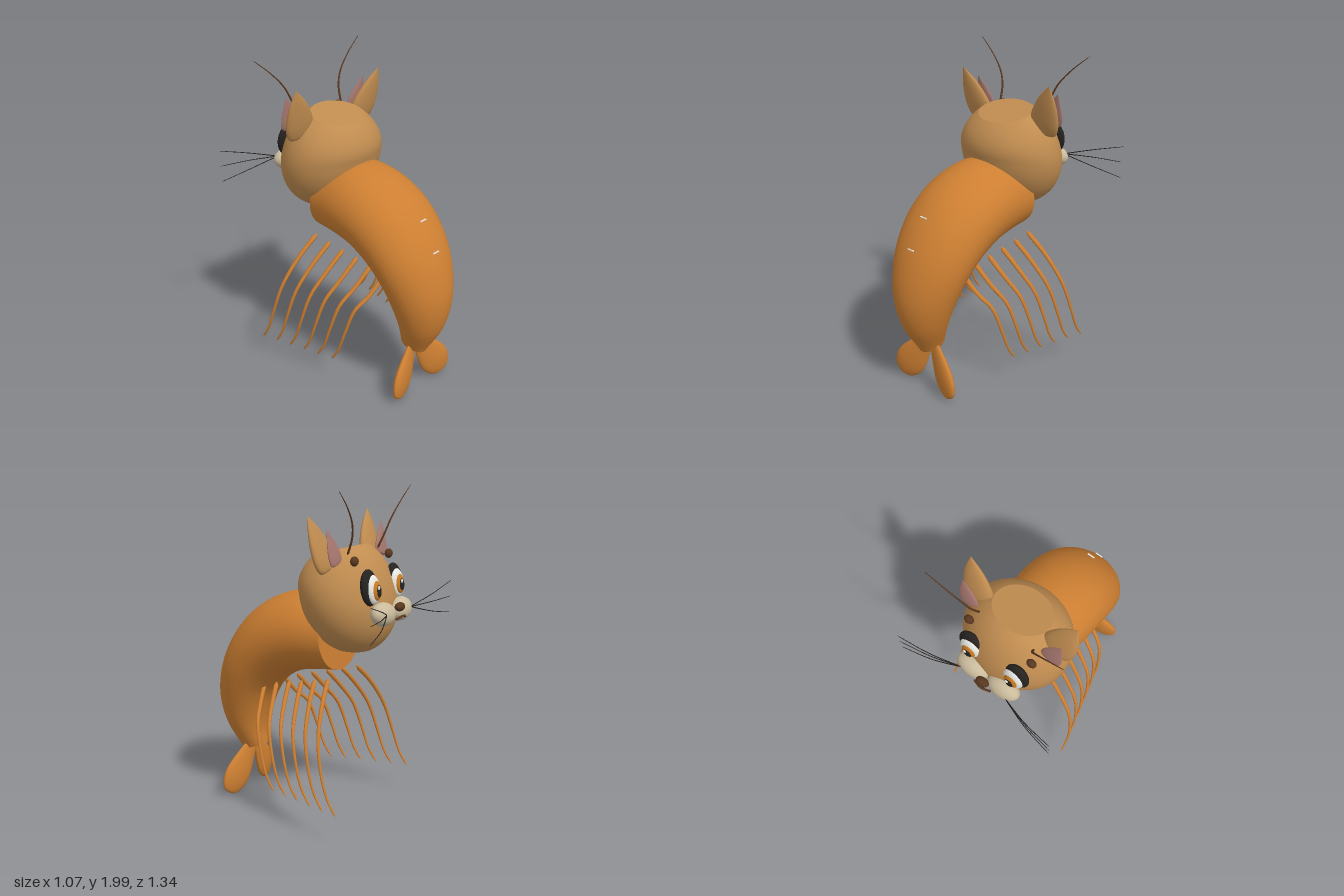
import * as THREE from 'three';

const mat = (name, color, extra = {}) => {
  const m = new THREE.MeshStandardMaterial({ color, ...extra });
  m.name = name;
  return m;
};
const V = (x, y, z) => new THREE.Vector3(x, y, z);

// Smooth skin over oval rings; each section is [backZ, backY, frontZ, frontY, halfWidth]
function loft(sections, sides = 48) {
  const rings = sections.map(([bz, by, fz, fy, w]) => ({
    c: V(0, (by + fy) / 2, (bz + fz) / 2), d: V(0, (by - fy) / 2, (bz - fz) / 2), w,
  }));
  const flat = (r) => ({ c: r.c, d: V(0, 0, 0), w: 0 });
  const first = rings[0], last = rings[rings.length - 1];
  const all = [flat(first), first, ...rings, last, flat(last)]; // doubled end rings keep cap edges sharp
  const pos = [], idx = [];
  all.forEach((r, i) => {
    for (let j = 0; j < sides; j++) {
      const a = (j / sides) * Math.PI * 2;
      const p = r.c.clone().addScaledVector(r.d, Math.cos(a));
      pos.push(r.w * Math.sin(a), p.y, p.z);
      if (i === all.length - 1) continue;
      const k = (j + 1) % sides, A = i * sides, B = A + sides;
      idx.push(A + j, B + j, A + k, B + j, B + k, A + k);
    }
  });
  const g = new THREE.BufferGeometry();
  g.setAttribute('position', new THREE.Float32BufferAttribute(pos, 3));
  g.setIndex(idx);
  g.computeVertexNormals();
  return g;
}

// Resample key sections along smooth curves
function smoothSections(keys, steps) {
  const back = new THREE.CatmullRomCurve3(keys.map((k) => V(k[4], k[1], k[0])));
  const front = new THREE.CatmullRomCurve3(keys.map((k) => V(0, k[3], k[2])));
  return Array.from({ length: steps + 1 }, (_, i) => {
    const b = back.getPoint(i / steps), f = front.getPoint(i / steps);
    return [b.z, b.y, f.z, f.y, b.x];
  });
}

// Tube along a curve that narrows from r0 to r1 and closes at both ends
function taperedTube(points, r0, r1, seg = 28, radial = 8) {
  const curve = new THREE.CatmullRomCurve3(points);
  const g = new THREE.TubeGeometry(curve, seg, 1, radial);
  const p = g.attributes.position, v = V(0, 0, 0);
  for (let i = 0; i <= seg; i++) {
    const c = curve.getPointAt(i / seg);
    const r = i === 0 || i === seg ? 0 : r0 + (r1 - r0) * (i / seg);
    for (let j = 0; j <= radial; j++) {
      const n = i * (radial + 1) + j;
      v.fromBufferAttribute(p, n).sub(c).multiplyScalar(r).add(c);
      p.setXYZ(n, v.x, v.y, v.z);
    }
  }
  g.computeVertexNormals();
  return g;
}

// Flattened leaf turned from a profile listed bottom to top
function leaf(profile, flatness) {
  const pts = new THREE.SplineCurve(profile.map(([x, y]) => new THREE.Vector2(x, y))).getPoints(24);
  pts.forEach((p) => { p.x = Math.max(p.x, 0); });
  return new THREE.LatheGeometry(pts, 32).scale(1, 1, flatness);
}

export function createModel() {
  const group = new THREE.Group();
  const shell = mat('shell orange', 0xcd7f32, { side: THREE.DoubleSide });
  const fur = mat('fur tan', 0xc08c50);
  const cream = mat('muzzle cream', 0xcabb9c);
  const brown = mat('dark brown', 0x5a3820);
  const pink = mat('inner ear pink', 0xa87870);
  const black = mat('black', 0x25221f);
  const white = mat('eye white', 0xeeeeea);
  const amber = mat('iris amber', 0xc97a22);

  const add = (name, geo, material, pos = [0, 0, 0], rot = [0, 0, 0]) => {
    const m = new THREE.Mesh(geo, material);
    m.name = name;
    m.position.set(...pos);
    m.rotation.set(...rot);
    group.add(m);
    return m;
  };
  const ball = (name, material, pos, radii, rot) =>
    add(name, new THREE.SphereGeometry(1, 32, 20).scale(...radii), material, pos, rot);

  // Curved body from neck to tail
  add('body', loft(smoothSections([
    [-0.17, 1.36, -0.205, 0.915, 0.25],
    [0.02, 1.386, -0.05, 0.9, 0.275],
    [0.24, 1.33, 0.08, 0.87, 0.285],
    [0.43, 1.2, 0.2, 0.8, 0.28],
    [0.59, 0.97, 0.29, 0.7, 0.255],
    [0.667, 0.7, 0.345, 0.56, 0.2],
    [0.64, 0.48, 0.368, 0.43, 0.14],
    [0.53, 0.28, 0.36, 0.33, 0.07],
  ], 48)), shell);
  add('backMark', new THREE.BoxGeometry(0.05, 0.005, 0.008), white, [0, 1.15, 0.485]);
  add('backMark', new THREE.BoxGeometry(0.05, 0.005, 0.008), white, [0, 0.98, 0.587]);

  // Round head cut flat at crown and chin, with the cuts tilted
  const headRings = [];
  for (let i = 0; i <= 28; i++) {
    const a = THREE.MathUtils.lerp(0.56, 2.73, i / 28);
    const c = Math.cos(a), s = Math.sin(a);
    const z = -0.247 + (c > 0 ? 0.066 : 0.04) * c;
    const y = 1.375 + (c > 0 ? 0.315 : 0.34) * c;
    const d = 0.277 * s, tilt = c > 0 ? 0.07 - 0.37 * c : 0.07;
    headRings.push([z + d, y + d * tilt, z - d, y - d * tilt, 0.335 * s]);
  }
  add('head', loft(headRings), fur);

  // Nose and mouth
  ball('nose', brown, [0, 1.335, -0.58], [0.042, 0.026, 0.026]);
  add('mouth', taperedTube([V(-0.06, 1.27, -0.585), V(0, 1.285, -0.602), V(0.06, 1.27, -0.585)], 0.007, 0.007), brown);

  const earShape = leaf([[0, -0.05], [0.08, -0.04], [0.1, 0.02], [0.088, 0.1], [0.055, 0.19], [0, 0.28]], 0.36);
  const innerEarShape = leaf([[0, -0.02], [0.055, -0.01], [0.062, 0.04], [0.04, 0.11], [0, 0.19]], 0.25);
  const lobeShape = leaf([[0, -0.37], [0.055, -0.355], [0.095, -0.29], [0.1, -0.21], [0.072, -0.1], [0.035, 0], [0, 0.02]], 0.34);

  for (const s of [1, -1]) {
    // Ears
    add('ear', earShape, fur, [s * 0.263, 1.595, -0.24], [0.24, 0, -s * 0.3]);
    add('innerEar', innerEarShape, pink, [s * 0.27, 1.605, -0.315], [0.17, 0, -s * 0.28]);

    // Eyes built in layers
    const tilt = [0.15, 0, 0];
    ball('eyeRim', black, [s * 0.157, 1.455, -0.463], [0.08, 0.105, 0.036], tilt);
    ball('eyeWhite', white, [s * 0.15, 1.447, -0.483], [0.066, 0.084, 0.032], tilt);
    ball('iris', amber, [s * 0.147, 1.443, -0.502], [0.046, 0.058, 0.022], tilt);
    ball('pupil', black, [s * 0.145, 1.44, -0.516], [0.028, 0.037, 0.013], tilt);
    ball('eyeGlint', white, [s * 0.145 + 0.012, 1.46, -0.525], [0.01, 0.012, 0.006]);

    // Muzzle and whiskers
    ball('muzzle', cream, [s * 0.108, 1.303, -0.528], [0.106, 0.069, 0.06], [0.3, 0, s * 0.08]);
    for (const [mid, end] of [[1.365, 1.425], [1.318, 1.325], [1.26, 1.222]]) {
      add('whisker', taperedTube([V(s * 0.15, 1.31, -0.575), V(s * 0.33, mid, -0.632), V(s * 0.535, end, -0.67)], 0.0032, 0.0018, 14, 6), black);
    }

    // Antennae and the small knobs in front of them
    ball('knob', brown, [s * 0.21, 1.605, -0.397], [0.03, 0.028, 0.022]);
    add('antenna', taperedTube([V(s * 0.18, 1.63, -0.335), V(s * 0.2, 1.73, -0.375), V(s * 0.235, 1.81, -0.395),
      V(s * 0.32, 1.905, -0.412), V(s * 0.435, 2, -0.425)], 0.007, 0.0018), brown);

    // Six swimming legs, rear to front
    for (let i = 0; i < 6; i++) {
      const t = i / 5, z = 0.295 - 0.505 * t, y = 0.78 + 0.12 * t;
      const x = (a, b) => s * (a + (b - a) * t);
      add('leg', taperedTube([
        V(x(0.1, 0.17), y, z),
        V(x(0.21, 0.3), y - 0.13, z - 0.035),
        V(x(0.29, 0.41), 0.57 + 0.03 * t, z - 0.075),
        V(x(0.33, 0.455), 0.4, z - 0.125),
        V(x(0.34, 0.462), 0.27, z - 0.17),
        V(x(0.345, 0.465), 0.18, z - 0.227),
      ], 0.015, 0.006), shell);
    }

    // Tail fan lobe
    add('tailLobe', lobeShape, shell, [s * 0.02, 0.335, 0.455], [0, -s * 0.25, s * 0.6]);
  }
  return group;
}
